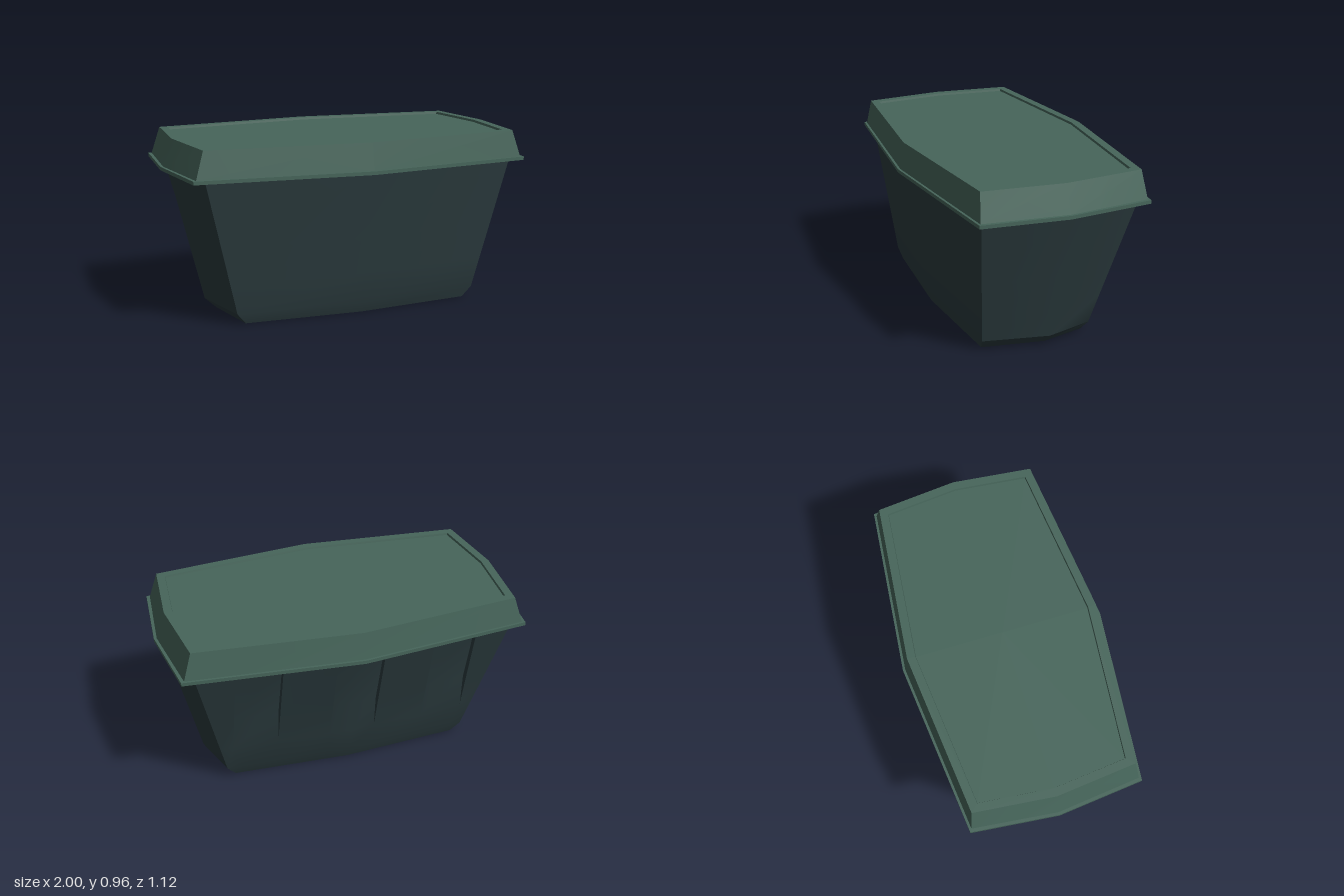
import * as THREE from 'three';
import { toCreasedNormals } from 'three/addons/utils/BufferGeometryUtils.js';

// Skin a stack of rings (bottom to top, counter-clockwise seen from above)
function loft(rings, capBottom, capTop) {
  const pos = [];
  const tri = (a, b, c) => {
    const n = b.clone().sub(a).cross(c.clone().sub(a));
    if (n.length() > 1e-9) [a, b, c].forEach((p) => pos.push(p.x, p.y, p.z));
  };
  const count = rings[0].length;
  for (let r = 0; r < rings.length - 1; r++) {
    for (let i = 0; i < count; i++) {
      const j = (i + 1) % count;
      const low = rings[r], up = rings[r + 1];
      tri(low[i], low[j], up[j]);
      tri(low[i], up[j], up[i]);
    }
  }
  const cap = (ring, flip) => {
    const centre = new THREE.Vector3(0, ring[0].y, 0);
    ring.forEach((p, i) => {
      const q = ring[(i + 1) % count];
      if (flip) tri(centre, q, p);
      else tri(centre, p, q);
    });
  };
  if (capBottom) cap(rings[0], true);
  if (capTop) cap(rings[rings.length - 1], false);
  const geo = new THREE.BufferGeometry();
  geo.setAttribute('position', new THREE.Float32BufferAttribute(pos, 3));
  return toCreasedNormals(geo, 0.45);
}

// Eight-sided outline bulging at the middle of every side
function outline(y, cornerX, cornerZ, midX, midZ) {
  return [
    [0, midZ], [cornerX, cornerZ], [midX, 0], [cornerX, -cornerZ],
    [0, -midZ], [-cornerX, -cornerZ], [-midX, 0], [-cornerX, cornerZ],
  ].map(([x, z]) => new THREE.Vector3(x, y, z));
}

// Tub outline: the back carries three recesses of the given depth
const recesses = [[0.67, 0.42], [0.13, -0.13], [-0.42, -0.67]];
function tubRing({ y, cornerX, midX, frontZ, frontMidZ, backZ, backMidZ, depth, spread }) {
  const backAt = (x) => -(backMidZ + (backZ - backMidZ) * Math.abs(x) / cornerX);
  const pts = [[0, frontMidZ], [cornerX, frontZ], [midX, 0], [cornerX, -backZ]];
  for (const [a, b] of recesses) {
    const from = a * spread, to = b * spread;
    pts.push([from, backAt(from)], [from, backAt(from) + depth]);
    if (a * b < 0) pts.push([0, backAt(0) + depth]);
    pts.push([to, backAt(to) + depth], [to, backAt(to)]);
  }
  pts.push([-cornerX, -backZ], [-midX, 0], [-cornerX, frontZ]);
  return pts.map(([x, z]) => new THREE.Vector3(x, y, z));
}

export function createModel() {
  const group = new THREE.Group();
  group.name = 'lidded tub';
  const tubMat = new THREE.MeshStandardMaterial({ color: 0x2b3b3e, side: THREE.DoubleSide });
  const lidMat = new THREE.MeshStandardMaterial({ color: 0x46655a });

  // Tub: straight taper from the bevelled foot to the lid
  const foot = { y: 0, cornerX: 0.65, midX: 0.71, frontZ: 0.34, frontMidZ: 0.385, backZ: 0.24, backMidZ: 0.28, depth: 0, spread: 0.88 };
  const base = { y: 0.06, cornerX: 0.70, midX: 0.775, frontZ: 0.355, frontMidZ: 0.41, backZ: 0.262, backMidZ: 0.305, depth: 0, spread: 0.94 };
  const rim = { y: 0.795, cornerX: 0.88, midX: 0.96, frontZ: 0.427, frontMidZ: 0.515, backZ: 0.432, backMidZ: 0.515, depth: 0.03, spread: 1 };
  const wallRing = (y, depth) => {
    const ring = {};
    const t = (y - base.y) / (rim.y - base.y);
    for (const key in base) ring[key] = base[key] + (rim[key] - base[key]) * t;
    return tubRing({ ...ring, y, depth, spread: 1 });
  };
  const tub = new THREE.Mesh(loft([
    tubRing(foot), tubRing(base), wallRing(0.23, 0), wallRing(0.43, 0.035), tubRing(rim),
  ], true, false), tubMat);
  tub.name = 'tub';

  // Lid: thin flange, sloping sides and a shallow recessed top
  const flange = new THREE.Mesh(loft([
    outline(0.793, 0.952, 0.466, 1, 0.56),
    outline(0.812, 0.952, 0.466, 1, 0.56),
  ], true, true), lidMat);
  flange.name = 'lidFlange';

  const lid = new THREE.Mesh(loft([
    outline(0.811, 0.935, 0.455, 0.985, 0.547),
    outline(0.96, 0.89, 0.437, 0.935, 0.525),
    outline(0.96, 0.85, 0.396, 0.89, 0.48),
    outline(0.948, 0.847, 0.394, 0.887, 0.477),
  ], false, true), lidMat);
  lid.name = 'lid';

  group.add(tub, flange, lid);
  group.rotation.y = 0.007;
  return group;
}
